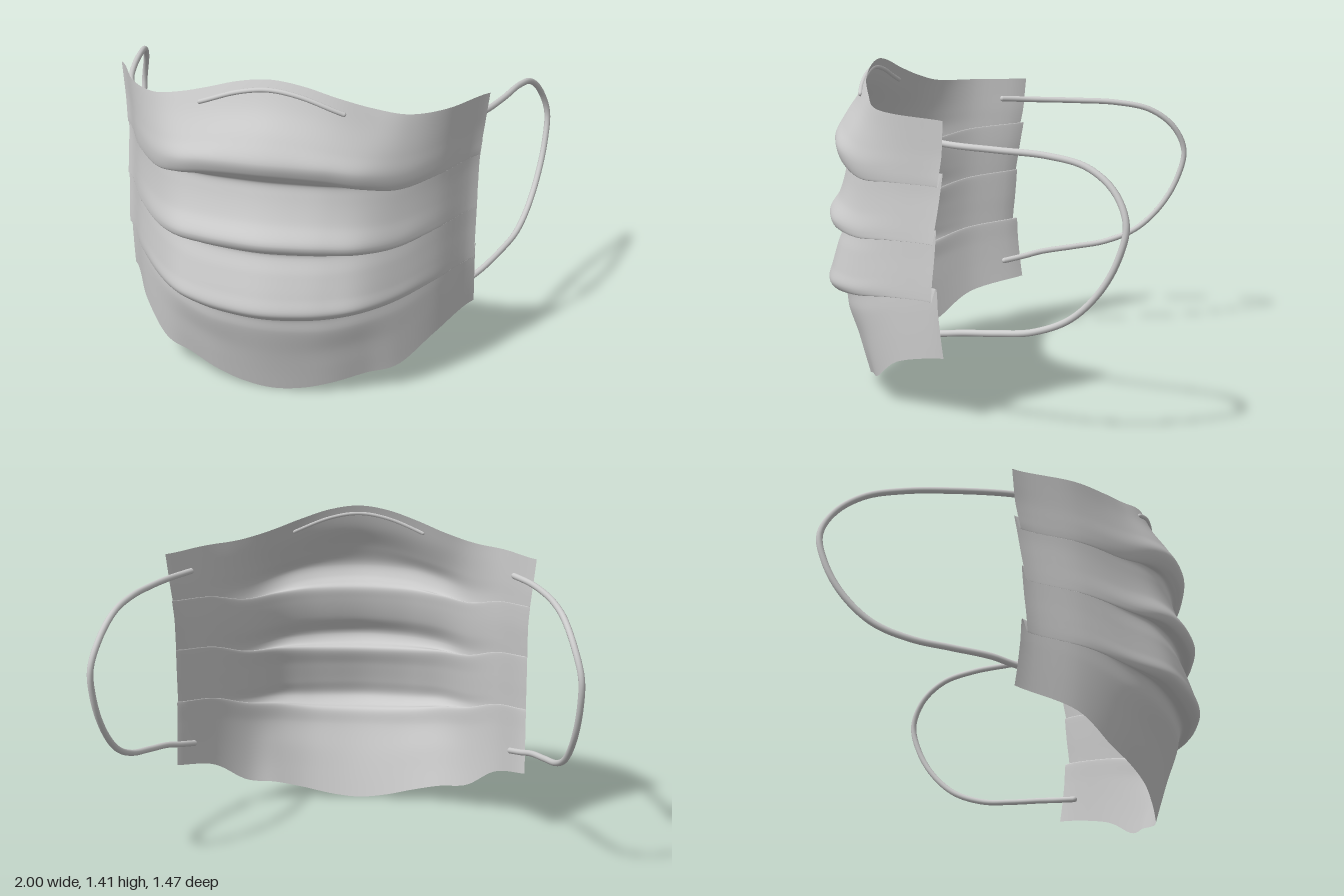
import * as THREE from 'three';

// Rows of the cloth from top to bottom:
// [centre y, centre z, cheek y, side y, side z, forward push of the pleat at the cheeks]
const ROWS = [
  [1.41, 0.53, 1.262, 1.25, 0.03, 0],       // top hem
  [1.30, 0.58, 1.19, 1.18, 0.035, 0],
  [1.20, 0.65, 1.10, 1.11, 0.04, 0],
  [1.11, 0.695, 1.03, 1.05, 0.046, 0.004],
  [1.06, 0.682, 0.98, 1.00, 0.052, 0.008],
  [1.03, 0.658, 0.957, 0.98, 0.053, 0.008], // first pleat lip
  [1.005, 0.637, 0.98, 1.04, 0.046, -0.008], // first inner fold
  [0.95, 0.645, 0.92, 0.95, 0.055, -0.004],
  [0.85, 0.68, 0.82, 0.86, 0.065, 0],
  [0.77, 0.73, 0.74, 0.78, 0.073, 0.006],
  [0.728, 0.71, 0.708, 0.745, 0.077, 0.008], // second pleat lip
  [0.705, 0.662, 0.73, 0.81, 0.077, -0.008],
  [0.62, 0.69, 0.64, 0.69, 0.08, -0.004],
  [0.53, 0.72, 0.54, 0.60, 0.081, 0.004],
  [0.46, 0.738, 0.485, 0.53, 0.082, 0.008],
  [0.42, 0.70, 0.46, 0.51, 0.082, 0.008],   // third pleat lip
  [0.405, 0.656, 0.48, 0.57, 0.078, -0.008],
  [0.33, 0.637, 0.39, 0.47, 0.066, -0.004],
  [0.20, 0.592, 0.28, 0.39, 0.054, 0],
  [0.10, 0.56, 0.19, 0.33, 0.047, 0],
  [0.00, 0.53, 0.115, 0.28, 0.04, 0],       // bottom hem
];
const LAST = ROWS.length - 1;

// Symmetric spline over u = -1..1 from evenly spaced values, centre to side
function symmetric(values) {
  const all = [...values.slice(1).reverse(), ...values];
  const curve = new THREE.SplineCurve(all.map((v, i) => new THREE.Vector2(i, v)));
  return (u) => curve.getPoint((u + 1) / 2).y;
}
const plan = symmetric([0.53, 0.525, 0.505, 0.455, 0.395, 0.275, 0.06]);
const bulge = symmetric([1, 0.95, 0.88, 0.8, 0.4, 0.1, 0]);
const hemToCheek = symmetric([0, 0.13, 0.43, 0.76, 1, 1, 1]);
const pleatToCheek = symmetric([0, 0.05, 0.22, 0.6, 1, 1, 1]);
const toSide = symmetric([0, 0, 0, 0, 0, 0.64, 1]);

// Vertical section of the cloth at u, through every row
function section(u) {
  const a = Math.abs(u);
  const pleat = THREE.MathUtils.smoothstep(a, 0.3, 0.65);
  const points = ROWS.map(([yc, zc, ym, ys, zs, push], i) => {
    const toCheek = i < 3 || i > LAST - 3 ? hemToCheek : pleatToCheek;
    const y = yc + (ym - yc) * toCheek(u) + (ys - ym) * toSide(u);
    const halfWidth = 0.785 + Math.max(0, ys - 0.98) * 0.11;
    const z = plan(u) + (zc - 0.53) * bulge(u) + (zs - 0.06) * a ** 6 + push * pleat;
    return new THREE.Vector3(u * halfWidth, y, z);
  });
  return new THREE.CatmullRomCurve3(points);
}

function clothGeometry(columns = 80, perRow = 7) {
  const rows = LAST * perRow;
  const positions = [];
  const index = [];
  for (let j = 0; j <= columns; j++) {
    const curve = section((j / columns) * 2 - 1);
    for (let i = 0; i <= rows; i++) positions.push(...curve.getPoint(i / rows).toArray());
  }
  for (let j = 0; j < columns; j++) {
    for (let i = 0; i < rows; i++) {
      const a = j * (rows + 1) + i;
      const b = a + rows + 1;
      index.push(a, a + 1, b, b, a + 1, b + 1);
    }
  }
  const geometry = new THREE.BufferGeometry();
  geometry.setAttribute('position', new THREE.Float32BufferAttribute(positions, 3));
  geometry.setIndex(index);
  geometry.computeVertexNormals();
  return geometry;
}

// Tube with rounded ends along a smooth path
function cord(name, points, radius, segments, material) {
  const group = new THREE.Group();
  group.name = name;
  const path = new THREE.CatmullRomCurve3(points);
  group.add(new THREE.Mesh(new THREE.TubeGeometry(path, segments, radius, 12), material));
  for (const end of [points[0], points[points.length - 1]]) {
    const cap = new THREE.Mesh(new THREE.SphereGeometry(radius, 12, 8), material);
    cap.position.copy(end);
    group.add(cap);
  }
  group.children.forEach((mesh, i) => { mesh.name = i ? `${name}End` : `${name}Cord`; });
  return group;
}

export function createModel() {
  const model = new THREE.Group();
  model.name = 'pleatedFaceMask';
  const material = new THREE.MeshStandardMaterial({ color: 0xcccccc });
  const clothMaterial = new THREE.MeshStandardMaterial({ color: 0xcccccc, side: THREE.DoubleSide });

  const cloth = new THREE.Mesh(clothGeometry(), clothMaterial);
  cloth.name = 'pleatedCloth';
  model.add(cloth);

  // Nose wire: a slim ridge half sunk in the cloth under the top hem
  const wirePoints = [];
  for (let k = -8; k <= 8; k++) {
    const s = k / 8;
    wirePoints.push(section(s * 0.37).getPoint((0.34 + 0.2 * s * s) / LAST));
  }
  const wire = cord('noseWire', wirePoints, 0.01, 48, material);
  wire.position.z = 0.004;
  model.add(wire);

  // Ear loops, fixed to the inside of the cloth near its side edges
  const loop = [
    [0.72, 1.16, 0.125], [0.785, 1.152, 0], [0.842, 1.146, -0.2], [0.882, 1.137, -0.4],
    [0.917, 1.103, -0.56], [0.952, 1.02, -0.67], [0.983, 0.9, -0.722], [0.983, 0.77, -0.695],
    [0.968, 0.63, -0.62], [0.942, 0.51, -0.5], [0.91, 0.445, -0.35], [0.865, 0.42, -0.2],
    [0.81, 0.40, -0.05], [0.768, 0.383, 0.025], [0.72, 0.365, 0.115],
  ];
  for (const [name, side] of [['leftEarLoop', 1], ['rightEarLoop', -1]]) {
    const points = loop.map(([x, y, z]) => new THREE.Vector3(x * side, y, z));
    model.add(cord(name, points, 0.0135, 90, material));
  }
  return model;
}
